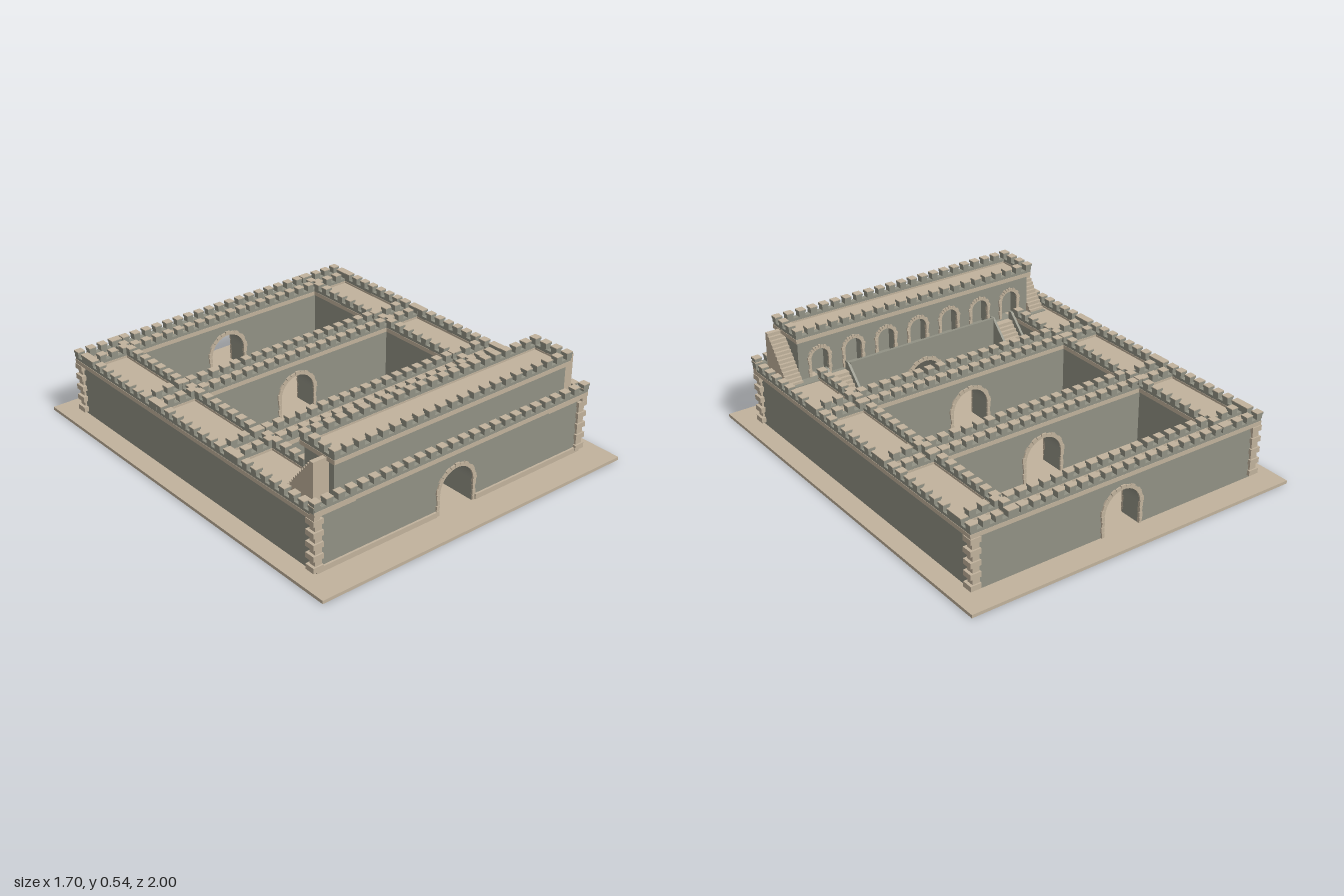
import * as THREE from 'three';
import { mergeGeometries } from 'three/addons/utils/BufferGeometryUtils.js';

const material = (name, color) => {
  const m = new THREE.MeshStandardMaterial({ color });
  m.name = name;
  return m;
};

export function createModel() {
  const grey = material('grey stone', 0x919184);
  const tan = material('tan stone', 0xc1b29c);
  const group = new THREE.Group();
  group.name = 'fortress';

  const add = (name, geometry, mat) => {
    const mesh = new THREE.Mesh(geometry, mat);
    mesh.name = name;
    group.add(mesh);
    return mesh;
  };
  // box given by its limits
  const box = (x0, x1, y0, y1, z0, z1) =>
    new THREE.BoxGeometry(x1 - x0, y1 - y0, z1 - z0)
      .translate((x0 + x1) / 2, (y0 + y1) / 2, (z0 + z1) / 2);

  // wall with arched openings reaching its foot; arches are [x, radius, spring height]
  const archedWall = (name, x0, x1, y0, y1, z0, z1, arches) => {
    const s = new THREE.Shape();
    s.moveTo(x0, y0);
    for (const [x, r, spring] of arches) {
      s.lineTo(x - r, y0);
      s.lineTo(x - r, spring);
      s.absarc(x, spring, r, Math.PI, 0, true);
      s.lineTo(x + r, y0);
    }
    s.lineTo(x1, y0);
    s.lineTo(x1, y1);
    s.lineTo(x0, y1);
    const g = new THREE.ExtrudeGeometry(s, { depth: z1 - z0, bevelEnabled: false, curveSegments: 16 });
    add(name, g.translate(0, 0, z0), grey);
  };

  // ring of wedge stones with block jambs around an opening
  const archStones = (name, [x, r, spring], y0, z, t) => {
    const parts = [], n = 13, depth = 0.014;
    for (let i = 0; i < n; i++) {
      const a = Math.PI * (i + 0.5) / n;
      const len = i % 2 ? t : t * 1.2;
      parts.push(new THREE.BoxGeometry(len, Math.PI * r / n * 1.04, depth)
        .translate(r + len / 2, 0, 0).rotateZ(a).translate(x, spring, z));
    }
    const rows = Math.max(2, Math.round((spring - y0) / 0.025));
    const h = (spring - y0) / rows;
    for (let i = 0; i < rows; i++) for (const side of [-1, 1]) {
      const len = i % 2 ? t : t * 0.8;
      parts.push(new THREE.BoxGeometry(len, h * 0.92, depth)
        .translate(x + side * (r + len / 2), y0 + (i + 0.5) * h, z));
    }
    add(name, mergeGeometries(parts), tan);
  };

  // string course, low parapet and capped merlons between two points
  const battlement = (name, x0, z0, x1, z1, y) => {
    const length = Math.hypot(x1 - x0, z1 - z0), alongX = z0 === z1;
    const n = Math.round(length / 0.0605);
    const strip = (w, ya, yb) => alongX
      ? box(x0 - w / 2, x1 + w / 2, ya, yb, z0 - w / 2, z0 + w / 2)
      : box(x0 - w / 2, x0 + w / 2, ya, yb, z0 - w / 2, z1 + w / 2);
    add(name + 'Course', strip(0.03, y, y + 0.02), tan);
    const bodies = [strip(0.027, y + 0.02, y + 0.033)], caps = [];
    for (let i = 0; i <= n; i++) {
      const cx = x0 + (x1 - x0) * i / n, cz = z0 + (z1 - z0) * i / n;
      bodies.push(new THREE.BoxGeometry(0.032, 0.02, 0.032).translate(cx, y + 0.043, cz));
      bodies.push(new THREE.BoxGeometry(0.037, 0.009, 0.037).translate(cx, y + 0.0575, cz));
      caps.push(new THREE.BoxGeometry(0.037, 0.003, 0.037).translate(cx, y + 0.0635, cz));
    }
    add(name + 'Merlons', mergeGeometries(bodies), grey);
    add(name + 'Caps', mergeGeometries(caps), tan);
  };

  // side profile (z, y) extruded across x
  const profile = (points, x, width) =>
    new THREE.ExtrudeGeometry(new THREE.Shape(points.map(p => new THREE.Vector2(...p))),
      { depth: width, bevelEnabled: false })
      .rotateY(-Math.PI / 2).translate(x + width / 2, 0, 0);
  const stairs = (name, x, width, z0, z1, zEnd, y0, y1, n) => {
    const points = [[z0, y0]];
    for (let i = 0; i < n; i++) {
      const y = y0 + (y1 - y0) * (i + 1) / n;
      points.push([z0 + (z1 - z0) * i / n, y], [z0 + (z1 - z0) * (i + 1) / n, y]);
    }
    points.push([zEnd, y1], [zEnd, y0]);
    add(name, profile(points.reverse(), x, width), tan);
  };

  const FLOOR = 0.015, TOP = 0.27, DECK = 0.28;
  add('groundSlab', box(-0.85, 0.85, 0, FLOOR, -1, 1), tan);

  // long side ranges with their walkways
  for (const s of [-1, 1]) {
    const a = Math.min(s * 0.55, s * 0.755), b = Math.max(s * 0.55, s * 0.755);
    add('sideRange', box(a, b, FLOOR, TOP, -0.875, 0.84), grey);
    add('sideWalkway', box(a, b, TOP, DECK, -0.875, 0.84), tan);
    battlement('outerSide', s * 0.76, -0.872, s * 0.76, 0.84, TOP);
    battlement('innerSide', s * 0.56, -0.872, s * 0.56, 0.59, TOP);
  }

  // cross ranges, each pierced by a gate
  const gate = [0, 0.095, 0.12];
  for (const [z0, z1] of [[-0.875, -0.77], [-0.34, -0.225], [0.215, 0.33]]) {
    archedWall('crossRange', -0.55, 0.55, FLOOR, TOP, z0, z1, [gate]);
    add('crossWalkway', box(-0.55, 0.55, TOP, DECK, z0, z1), tan);
    archStones('gateStones', gate, FLOOR, z0, 0.017);
    archStones('gateStones', gate, FLOOR, z1, 0.017);
  }
  for (const z of [-0.872, -0.78, -0.328, -0.235, 0.225, 0.32])
    battlement('crossRange', -0.76, z, 0.76, z, TOP);

  // front range with blind arches towards the court
  const niches = [-0.4, -0.21].map(x => [x, 0.05, 0.11]);
  const nichesRight = [0.21, 0.4].map(x => [x, 0.05, 0.11]);
  archedWall('courtWall', -0.55, 0.55, FLOOR, TOP, 0.59, 0.64, [...niches, gate, ...nichesRight]);
  archedWall('frontRange', -0.55, 0.55, FLOOR, TOP, 0.64, 0.84, [gate]);
  for (const n of [...niches, ...nichesRight]) archStones('nicheStones', n, FLOOR, 0.59, 0.014);
  archStones('gateStones', gate, FLOOR, 0.59, 0.017);
  archStones('gateStones', gate, FLOOR, 0.84, 0.017);
  add('galleryWalkway', box(-0.55, 0.55, TOP, DECK, 0.59, 0.84), grey);
  add('galleryParapet', box(-0.41, 0.41, DECK, 0.325, 0.59, 0.605), grey);
  add('frontWallTop', box(-0.755, 0.755, TOP, 0.29, 0.822, 0.84), grey);
  battlement('front', -0.76, 0.843, 0.76, 0.843, 0.29);
  for (const s of [-1, 1])
    add('frontPlinth', box(Math.min(s * 0.112, s * 0.755), Math.max(s * 0.112, s * 0.755),
      FLOOR, 0.04, 0.84, 0.85), tan);

  // upper gallery building
  const windows = [];
  for (let i = -3; i <= 3; i++) windows.push([i * 0.18, 0.045, 0.37]);
  archedWall('arcade', -0.65, 0.65, DECK, 0.475, 0.645, 0.69, windows);
  add('galleryBody', box(-0.65, 0.65, DECK, 0.475, 0.69, 0.825), grey);
  add('galleryRoof', box(-0.65, 0.65, 0.475, 0.487, 0.645, 0.825), tan);
  for (const w of windows) archStones('windowStones', w, DECK, 0.645, 0.016);
  for (const z of [0.643, 0.828]) battlement('gallery', -0.648, z, 0.648, z, 0.475);
  for (const x of [-0.648, 0.648]) battlement('galleryEnd', x, 0.643, x, 0.828, 0.475);

  // stairs from the court and up to the gallery roof
  for (const s of [-1, 1]) {
    stairs('courtStairs', s * 0.47, 0.1, 0.335, 0.6, 0.62, FLOOR, 0.283, 18);
    for (const x of [0.414, 0.526])
      add('stairWall', profile([[0.33, FLOOR], [0.62, FLOOR], [0.62, 0.325], [0.6, 0.325], [0.33, 0.05]],
        s * x, 0.012), grey);
    stairs('roofStairs', s * 0.69, 0.08, 0.61, 0.785, 0.795, DECK, 0.49, 14);
    add('stairLanding', box(s * 0.64 - 0.09, s * 0.64 + 0.09, DECK, 0.284, 0.59, 0.64), grey);
  }

  // corner quoins, alternately large and small
  const quoins = [];
  for (const sx of [-1, 1]) for (const z of [-0.875, 0.84]) for (let i = 0; i < 9; i++) {
    const out = i % 2 ? 0.01 : 0.022, size = i % 2 ? 0.035 : 0.052, sz = Math.sign(z);
    quoins.push(new THREE.BoxGeometry(size, 0.025, size)
      .translate(sx * (0.755 + out - size / 2), 0.04 + i * 0.027, z + sz * (Math.min(out, 0.015) - size / 2)));
  }
  add('cornerQuoins', mergeGeometries(quoins), tan);

  return group;
}
